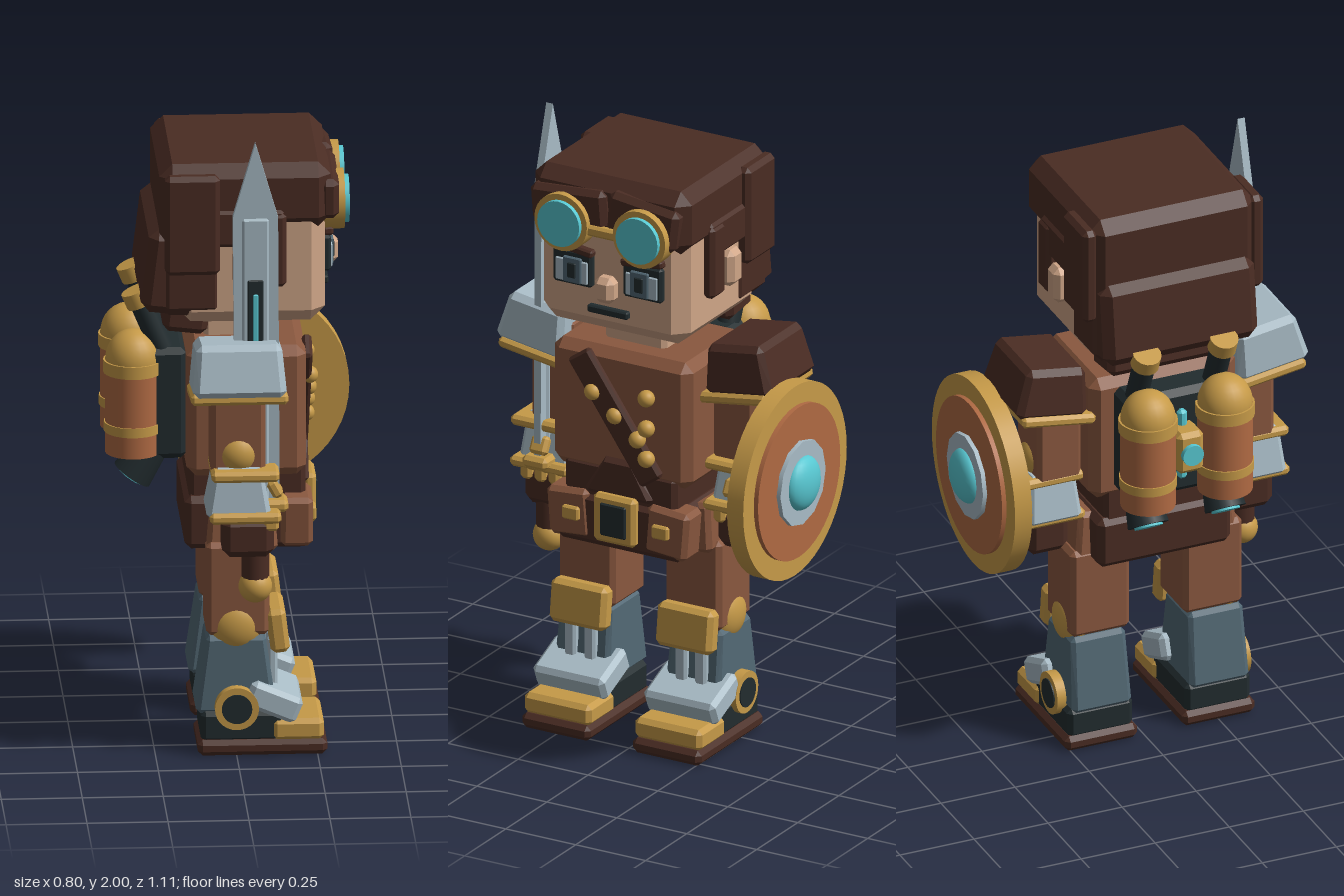
import * as THREE from 'three';
import { ConvexGeometry } from 'three/addons/geometries/ConvexGeometry.js';

const paint = (name, color) => Object.assign(new THREE.MeshStandardMaterial({ color }), { name });

export function createModel() {
  const model = new THREE.Group();
  model.name = 'adventurer';
  const body = new THREE.Group();
  body.name = 'figure';
  body.position.z = 0.052; // the shield side reaches further out, so the body sits off centre
  model.add(body);

  const hair = paint('dark brown leather', 0x4a2c23);
  const skin = paint('skin', 0xd0a688);
  const cloth = paint('brown cloth', 0x8a583f);
  const gold = paint('brass', 0xc69a48);
  const copper = paint('copper', 0xb06a43);
  const teal = paint('teal glass', 0x58c8d2);
  const silver = paint('silver', 0xa9bcc6);
  const slate = paint('slate', 0x526874);
  const dark = paint('black', 0x222c2f);

  const add = (name, mat, geo, pos, rot = [0, 0, 0]) => {
    const m = new THREE.Mesh(geo, mat);
    m.name = name;
    m.position.set(...pos);
    m.rotation.set(...rot);
    body.add(m);
    return m;
  };
  // Box with chamfered edges; top = [x, z] scale of its upper end
  const box = (name, mat, size, pos, { r = 0.015, rot, top = [1, 1] } = {}) => {
    const h = size.map(v => v / 2);
    const c = Math.min(r, ...h.map(v => v * 0.6));
    const pts = [];
    for (const i of [-1, 1]) for (const j of [-1, 1]) for (const k of [-1, 1])
      for (let a = 0; a < 3; a++) {
        const p = [i, j, k].map((s, n) => s * (h[n] - (n === a ? 0 : c)));
        if (j > 0) { p[0] *= top[0]; p[2] *= top[1]; }
        pts.push(new THREE.Vector3(...p));
      }
    return add(name, mat, new ConvexGeometry(pts), pos, rot);
  };
  const ball = (name, mat, r, pos, scale = [1, 1, 1]) =>
    add(name, mat, new THREE.SphereGeometry(r, 24, 16), pos).scale.set(...scale);
  const cyl = (name, mat, r, h, pos, rot, n = 28, r2 = r) =>
    add(name, mat, new THREE.CylinderGeometry(r2, r, h, n), pos, rot);
  const alongX = [0, 0, -Math.PI / 2], alongZ = [Math.PI / 2, 0, 0];

  // Head (the figure faces +x)
  box('head', skin, [0.46, 0.46, 0.525], [0.048, 1.61, 0], { r: 0.045 });
  box('neck', skin, [0.22, 0.16, 0.22], [0.02, 1.34, 0]);
  box('nose', skin, [0.06, 0.085, 0.07], [0.3, 1.54, 0], { r: 0.02 });
  box('mouth', dark, [0.03, 0.025, 0.145], [0.282, 1.46, 0], { r: 0.005 });

  // Leather cap
  box('capTop', hair, [0.53, 0.21, 0.56], [0.03, 1.795, 0], { r: 0.04 });
  box('capBack', hair, [0.2, 0.42, 0.54], [-0.135, 1.62, 0], { r: 0.03 });
  box('capNape', hair, [0.19, 0.27, 0.52], [-0.185, 1.545, 0], { r: 0.03, rot: [0, 0, -0.12] });
  box('capNapeLower', hair, [0.14, 0.1, 0.44], [-0.15, 1.39, 0], { r: 0.02, rot: [0, 0, -0.12] });
  box('fringeA', hair, [0.06, 0.13, 0.27], [0.29, 1.79, 0.13], { r: 0.02, rot: [0.08, 0, 0] });
  box('fringeB', hair, [0.06, 0.14, 0.25], [0.285, 1.79, -0.13], { r: 0.02, rot: [-0.12, 0, 0] });

  for (const k of [1, -1]) {
    box('capSide', hair, [0.17, 0.32, 0.05], [-0.135, 1.715, k * 0.28]);
    box('capEarTop', hair, [0.22, 0.12, 0.04], [0.04, 1.70, k * 0.27]);
    box('sideburn', hair, [0.08, 0.24, 0.045], [0.115, 1.63, k * 0.275]);
    box('ear', skin, [0.075, 0.12, 0.06], [0.025, 1.58, k * 0.28], { r: 0.018 });

    // Eyes
    box('eyeSocket', dark, [0.03, 0.115, 0.14], [0.283, 1.585, k * 0.125], { r: 0.008 });
    box('eyeWhite', silver, [0.012, 0.075, 0.115], [0.297, 1.575, k * 0.125], { r: 0.004 });
    box('iris', slate, [0.012, 0.085, 0.065], [0.302, 1.58, k * 0.12], { r: 0.004 });
    box('pupil', dark, [0.01, 0.05, 0.03], [0.307, 1.58, k * 0.12], { r: 0.003 });
    box('eyebrow', hair, [0.03, 0.025, 0.15], [0.29, 1.65, k * 0.125], { r: 0.006, rot: [k * -0.12, 0, 0] });

    // Goggles
    cyl('goggleRim', gold, 0.094, 0.07, [0.305, 1.747, k * 0.14], alongX);
    cyl('goggleLens', teal, 0.075, 0.03, [0.34, 1.747, k * 0.14], alongX);
  }
  box('goggleBridge', gold, [0.03, 0.035, 0.14], [0.318, 1.735, 0], { r: 0.008 });

  // Torso, bandolier and belt
  box('torso', cloth, [0.37, 0.42, 0.495], [0.035, 1.09, 0], { r: 0.03 });
  box('waist', hair, [0.36, 0.13, 0.4], [0.04, 0.85, 0]);
  box('waistPoint', hair, [0.05, 0.13, 0.24], [0.21, 0.88, 0], { top: [1, 0.45] });
  box('bandolier', hair, [0.03, 0.46, 0.09], [0.228, 1.085, 0.008], { r: 0.01, rot: [0.61, 0, 0] });
  for (const [y, z] of [[1.158, 0.085], [1.094, 0.006], [1.03, -0.074], [0.972, -0.106], [1.174, -0.106], [1.073, -0.106]])
    ball('stud', gold, 0.027, [0.238, y, z]);
  box('belt', hair, [0.39, 0.17, 0.45], [0.04, 0.725, 0], { r: 0.02 });
  box('buckle', gold, [0.04, 0.16, 0.15], [0.24, 0.75, 0]);
  box('buckleCentre', dark, [0.02, 0.11, 0.095], [0.255, 0.75, 0], { r: 0.006 });
  for (const k of [1, -1]) {
    box('pouch', cloth, [0.1, 0.16, 0.15], [0.19, 0.735, k * 0.175], { rot: [k * 0.08, 0, 0] });
    box('pouchClasp', gold, [0.02, 0.045, 0.06], [0.243, 0.74, k * 0.16], { r: 0.006 });
    box('hipFlap', cloth, [0.22, 0.16, 0.06], [0.02, 0.725, k * 0.235], { top: [0.9, 1], rot: [k * -0.1, 0, 0] });
  }

  // Arms
  for (const k of [1, -1]) {
    const z = k * 0.345;
    box('upperArm', cloth, [0.17, 0.36, 0.15], [0, 1.12, k * 0.325]);
    ball('elbow', gold, 0.075, [0, 1.0, z]);
    box('upperCuff', gold, [0.21, 0.035, 0.21], [0.02, 0.945, z]);
    box('forearm', silver, [0.2, 0.16, 0.18], [0, 0.885, z], { top: [0.75, 0.85] });
    box('lowerCuff', gold, [0.22, 0.035, 0.21], [0.02, 0.81, z]);
    box('cuffGear', gold, [0.035, 0.06, 0.06], [0.115, 0.88, z], { r: 0.01, rot: [0, 0, 0.5] });
    box('hand', hair, [0.16, 0.13, 0.14], [0.03, 0.735, z], { r: 0.025 });
    for (const d of [-0.05, 0, 0.05])
      box('knuckle', gold, [0.05, 0.055, 0.04], [0.1, 0.785, z + d], { r: 0.01 });

    // Shoulder plates, outer ends raised
    const rot = [k * -0.15, 0, 0];
    box('shoulderPlate', k > 0 ? silver : hair, [0.29, 0.165, 0.24], [0, 1.28, k * 0.365], { r: 0.02, rot, top: [0.92, 0.84] });
    box('shoulderTrim', gold, [0.3, 0.035, 0.25], [0, 1.19, k * 0.355], { r: 0.01, rot });
  }

  // Sword, held upright
  const sx = 0.055, sz = 0.347;
  const blade = new THREE.Shape([[-0.06, 0.82], [0.075, 0.82], [0.07, 1.76], [0, 2.0], [-0.07, 1.76]].map(p => new THREE.Vector2(...p)));
  add('blade', silver, new THREE.ExtrudeGeometry(blade, { depth: 0.024, bevelEnabled: false }), [sx, 0, sz - 0.012]);
  box('bladeCore', silver, [0.09, 0.92, 0.038], [sx, 1.3, sz], { r: 0.01 });
  box('bladeSlot', dark, [0.05, 0.34, 0.046], [sx, 1.39, sz], { r: 0.004 });
  box('bladeGlow', teal, [0.018, 0.29, 0.052], [sx, 1.37, sz], { r: 0.004 });
  box('guard', gold, [0.2, 0.04, 0.09], [sx, 0.83, sz]);
  cyl('grip', hair, 0.042, 0.2, [sx, 0.67, sz], undefined, 12);
  ball('pommel', gold, 0.052, [sx, 0.562, sz]);

  // Round shield, facing -z
  const shield = (name, mat, r, z0, z1, n) =>
    cyl(name, mat, r, z0 - z1, [0.08, 0.935, (z0 + z1) / 2], alongZ, n);
  shield('shieldRim', gold, 0.315, -0.487, -0.545, 48);
  shield('shieldFace', copper, 0.25, -0.53, -0.56, 48);
  shield('shieldBoss', silver, 0.138, -0.55, -0.574, 12);
  ball('shieldGem', teal, 0.088, [0.08, 0.935, -0.57], [1, 1, 0.5]);
  box('shieldHandle', hair, [0.12, 0.06, 0.1], [0.05, 0.87, -0.45]);

  // Legs and boots
  for (const k of [1, -1]) {
    const z = k * 0.198;
    box('thigh', cloth, [0.195, 0.3, 0.2], [0.005, 0.53, k * 0.19]);
    box('kneePad', gold, [0.06, 0.14, 0.2], [0.13, 0.39, k * 0.19], { rot: [0, 0, 0.12] });
    ball('knee', gold, 0.085, [0, 0.405, k * 0.25], [1, 1, 0.65]);
    box('shin', slate, [0.25, 0.25, 0.2], [0, 0.255, z], { top: [0.74, 0.92] });
    for (const d of [-0.035, 0.035])
      box('shinBar', silver, [0.03, 0.2, 0.04], [0.115, 0.26, z + d], { r: 0.008 });
    box('boot', dark, [0.26, 0.1, 0.22], [0.02, 0.09, z]);
    box('bootGuard', silver, [0.17, 0.085, 0.255], [0.115, 0.17, z], { rot: [0, 0, -0.4] });
    box('toeCap', gold, [0.16, 0.07, 0.24], [0.19, 0.08, z]);
    box('sole', hair, [0.4, 0.05, 0.245], [0.08, 0.025, z]);
    cyl('ankleRing', gold, 0.068, 0.05, [0, 0.155, k * 0.302], alongZ);
    cyl('ankleHub', dark, 0.047, 0.01, [0, 0.155, k * 0.326], alongZ);
  }

  // Backpack with twin tanks
  box('pack', dark, [0.12, 0.36, 0.36], [-0.205, 1.1, 0], { r: 0.02 });
  for (const k of [1, -1]) {
    const z = k * 0.13, x = -0.31;
    cyl('tank', copper, 0.086, 0.3, [x, 1.085, z]);
    cyl('tankBase', gold, 0.09, 0.03, [x, 1.02, z]);
    cyl('tankBand', gold, 0.092, 0.04, [x, 1.215, z]);
    ball('tankDome', gold, 0.086, [x, 1.235, z], [1, 1.1, 1]);
    cyl('pipe', dark, 0.036, 0.2, [-0.25, 1.335, z], [0, 0, 0.4], 16);
    cyl('pipeCap', gold, 0.045, 0.05, [-0.295, 1.435, z], [0, 0, 0.4], 16);
    cyl('nozzle', dark, 0.065, 0.17, [-0.265, 0.93, z], [0, 0, -0.6], 20, 0.045);
    cyl('nozzleGlow', teal, 0.045, 0.01, [-0.314, 0.858, z], [0, 0, -0.6], 20);
  }
  box('gaugeFrame', gold, [0.1, 0.14, 0.09], [-0.3, 1.1, 0]);
  cyl('gauge', teal, 0.035, 0.03, [-0.35, 1.1, 0], alongX, 16);
  box('packGlow', teal, [0.03, 0.24, 0.03], [-0.275, 1.1, 0]);

  return model;
}
